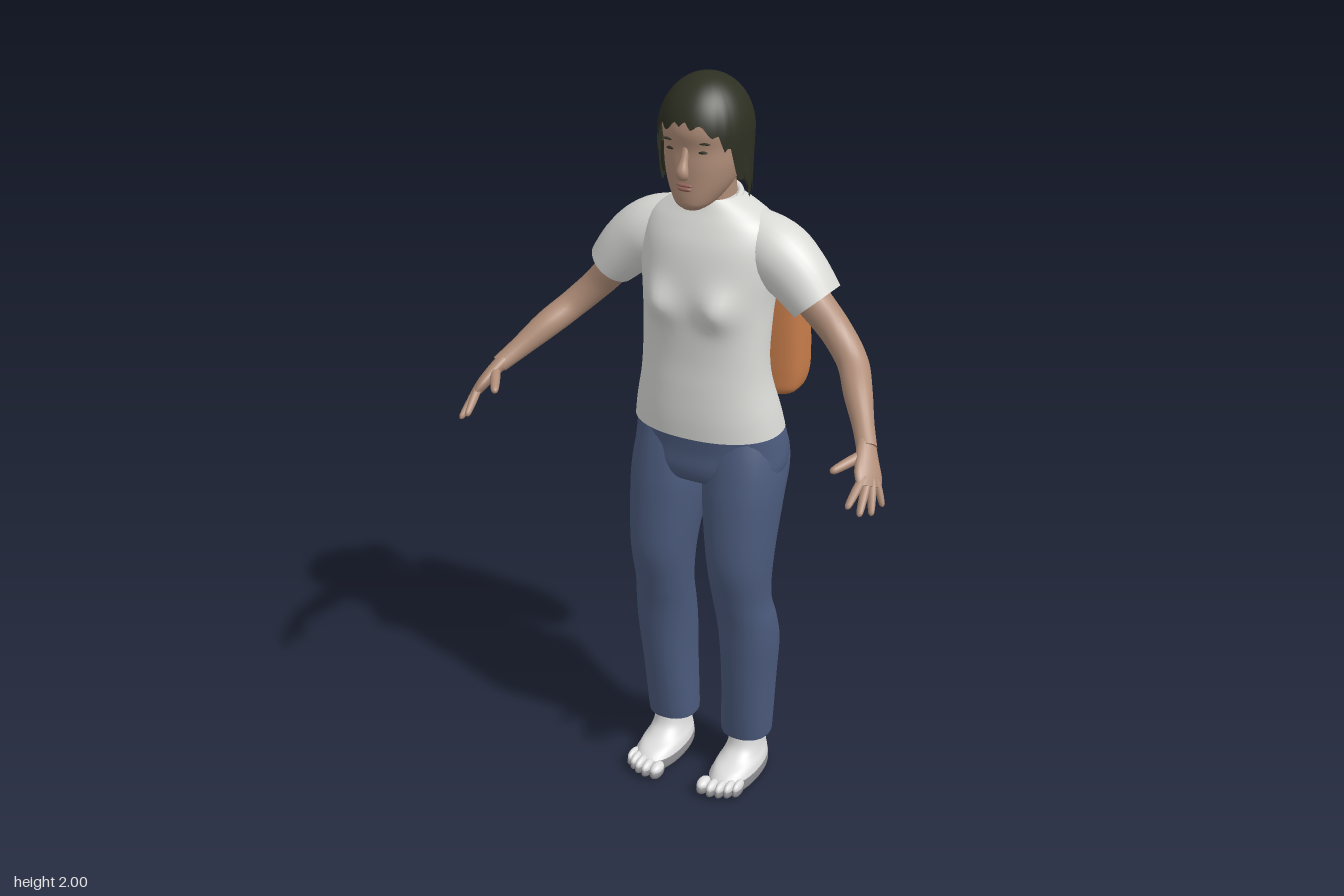
import * as THREE from 'three';
import { RoundedBoxGeometry } from 'three/addons/geometries/RoundedBoxGeometry.js';

const V = (x, y, z) => new THREE.Vector3(x, y, z);
const mat = (name, color, side = THREE.FrontSide) => {
  const m = new THREE.MeshStandardMaterial({ color, side });
  m.name = name;
  return m;
};

// Smooth rows of numbers with a Catmull-Rom spline
function smooth(rows, steps = 5) {
  const out = [];
  const at = i => rows[Math.min(Math.max(i, 0), rows.length - 1)];
  for (let i = 0; i < rows.length - 1; i++) {
    for (let s = 0; s < steps; s++) {
      const t = s / steps;
      out.push(rows[i].map((b, k) => {
        const a = at(i - 1)[k], c = at(i + 1)[k], d = at(i + 2)[k];
        return 0.5 * (2 * b + (c - a) * t + (2 * a - 5 * b + 4 * c - d) * t * t + (3 * b - a - 3 * c + d) * t * t * t);
      }));
    }
  }
  out.push(rows[rows.length - 1]);
  return out;
}

// Skin closed rings of points, with optional flat end caps
function skin(rings, capStart = true, capEnd = true) {
  const n = rings[0].length, pos = [], idx = [];
  rings.forEach(r => r.forEach(p => pos.push(p.x, p.y, p.z)));
  for (let i = 0; i < rings.length - 1; i++) {
    for (let j = 0; j < n; j++) {
      const a = i * n + j, b = i * n + (j + 1) % n;
      idx.push(a, b, a + n, b, b + n, a + n);
    }
  }
  const cap = (ring, flip) => {
    const base = pos.length / 3, c = V(0, 0, 0);
    ring.forEach(p => { c.addScaledVector(p, 1 / n); pos.push(p.x, p.y, p.z); });
    pos.push(c.x, c.y, c.z);
    for (let j = 0; j < n; j++) {
      const a = base + j, b = base + (j + 1) % n;
      idx.push(base + n, flip ? b : a, flip ? a : b);
    }
  };
  if (capStart) cap(rings[0], true);
  if (capEnd) cap(rings[rings.length - 1], false);
  const g = new THREE.BufferGeometry();
  g.setAttribute('position', new THREE.Float32BufferAttribute(pos, 3));
  g.setIndex(idx);
  g.computeVertexNormals();
  return g;
}

const power = (v, e) => Math.sign(v) * Math.pow(Math.abs(v), 2 / e);

// Horizontal rings, rows upward: [y, xMin, xMax, zBack, zFront]
function stack(rows, { e = 2.2, n = 36, caps = [true, true], tweak = p => p } = {}) {
  return skin(smooth(rows).map(([y, x0, x1, z0, z1]) => Array.from({ length: n }, (_, j) => {
    const t = j / n * Math.PI * 2;
    return tweak(V((x0 + x1) / 2 + (x1 - x0) / 2 * power(Math.cos(t), e), y,
      (z0 + z1) / 2 - (z1 - z0) / 2 * power(Math.sin(t), e)));
  })), ...caps);
}
const centred = rows => rows.map(([y, w, z0, z1]) => [y, -w, w, z0, z1]);

// Tapered limb along a path: [x, y, z, half width along hint, half depth]
function limb(rows, hint, { n = 20, caps = [true, true], steps = 5 } = {}) {
  const pts = smooth(rows, steps);
  return skin(pts.map((p, i) => {
    const a = pts[Math.max(i - 1, 0)], b = pts[Math.min(i + 1, pts.length - 1)];
    const T = V(b[0] - a[0], b[1] - a[1], b[2] - a[2]).normalize();
    const U = hint.clone().addScaledVector(T, -hint.dot(T)).normalize();
    const W = T.clone().cross(U);
    return Array.from({ length: n }, (_, j) => {
      const t = j / n * Math.PI * 2;
      return V(p[0], p[1], p[2]).addScaledVector(U, p[3] * Math.cos(t)).addScaledVector(W, p[4] * Math.sin(t));
    });
  }), ...caps);
}
const ball = (x, y, z, a, b, c) => new THREE.SphereGeometry(1, 16, 12).scale(a, b, c).translate(x, y, z);

function mirror(g) {
  const m = g.clone().scale(-1, 1, 1), ix = m.index.array;
  for (let i = 0; i < ix.length; i += 3) [ix[i + 1], ix[i + 2]] = [ix[i + 2], ix[i + 1]];
  m.computeVertexNormals();
  return m;
}

export function createModel() {
  const D = THREE.DoubleSide;
  const skinTone = mat('skin', 0xb08d78), hairDark = mat('dark hair', 0x2d2f22, D);
  const white = mat('shirt white', 0xd9d9d6, D), denim = mat('denim blue', 0x4b5a7c, D);
  const orange = mat('pack orange', 0xc67c4a), sock = mat('foot white', 0xdededf);
  const grey = mat('sole grey', 0x8f8f93), lip = mat('lip', 0x8f6257);

  const model = new THREE.Group();
  model.name = 'woman with backpack';
  const add = (name, g, m) => {
    const mesh = new THREE.Mesh(g, m);
    mesh.name = name;
    model.add(mesh);
    return mesh;
  };
  const pair = (name, g, m) => {
    add('left ' + name, g, m);
    add('right ' + name, mirror(g), m);
  };

  // Shirt body with a soft bust
  add('shirt', stack(centred([
    [1.062, 0.205, -0.165, 0.117], [1.12, 0.195, -0.15, 0.118], [1.2, 0.178, -0.125, 0.114],
    [1.27, 0.172, -0.113, 0.109], [1.35, 0.172, -0.128, 0.109], [1.42, 0.175, -0.147, 0.11],
    [1.5, 0.185, -0.158, 0.1], [1.57, 0.185, -0.158, 0.083], [1.62, 0.168, -0.15, 0.06],
    [1.655, 0.125, -0.13, 0.04], [1.685, 0.072, -0.108, 0.026],
  ]), {
    n: 56, caps: [false, true], tweak: p => {
      if (p.z > 0) p.z += 0.03 * Math.exp(-(((Math.abs(p.x) - 0.085) / 0.045) ** 2) - ((p.y - 1.425) / 0.05) ** 2);
      return p;
    },
  }), white);
  const collar = add('collar', new THREE.TorusGeometry(0.069, 0.009, 10, 36), white);
  collar.rotation.x = Math.PI / 2 + 0.22;
  collar.position.set(0, 1.678, -0.04);
  pair('sleeve', limb([
    [0.08, 1.575, -0.055, 0.085, 0.07], [0.17, 1.55, -0.05, 0.088, 0.088],
    [0.235, 1.505, -0.043, 0.081, 0.082], [0.293, 1.443, -0.04, 0.066, 0.077],
  ], V(0, 1, 0), { n: 28, caps: [true, false] }), white);

  // Arms and hands
  pair('arm', limb([
    [0.2, 1.52, -0.045, 0.05, 0.05], [0.28, 1.44, -0.045, 0.046, 0.047], [0.345, 1.37, -0.045, 0.041, 0.043],
    [0.405, 1.31, -0.015, 0.038, 0.04], [0.45, 1.265, 0.05, 0.036, 0.037], [0.495, 1.215, 0.115, 0.028, 0.028],
    [0.528, 1.18, 0.165, 0.022, 0.026],
  ], V(0, 1, 0)), skinTone);
  const spread = V(-0.4, 0.25, 0.85);
  pair('palm', limb([
    [0.52, 1.19, 0.152, 0.025, 0.02], [0.537, 1.165, 0.182, 0.033, 0.018],
    [0.554, 1.135, 0.212, 0.042, 0.016], [0.566, 1.113, 0.23, 0.038, 0.011],
  ], spread), skinTone);
  [ // knuckle, tip, radius
    ['thumb', [0.527, 1.172, 0.187], [0.479, 1.15, 0.267], 0.013],
    ['index finger', [0.549, 1.13, 0.245], [0.542, 1.085, 0.308], 0.0105],
    ['middle finger', [0.56, 1.12, 0.235], [0.57, 1.066, 0.297], 0.0105],
    ['ring finger', [0.57, 1.115, 0.222], [0.587, 1.056, 0.262], 0.01],
    ['little finger', [0.575, 1.115, 0.204], [0.596, 1.06, 0.214], 0.009],
  ].forEach(([name, a, b, r]) => {
    const row = (t, s) => [...a.map((v, k) => v + (b[k] - v) * t), r * s, r * s];
    pair(name, limb([row(-0.2, 1), row(0.3, 1.05), row(0.8, 0.85), row(0.95, 0.6), row(1, 0.2)], spread, { n: 10, steps: 3 }), skinTone);
  });

  // Trousers
  add('trouser seat', stack(centred([
    [0.905, 0.1, -0.08, 0.05], [0.925, 0.19, -0.125, 0.083], [0.96, 0.213, -0.148, 0.093],
    [1.01, 0.213, -0.162, 0.09], [1.08, 0.2, -0.155, 0.094],
  ])), denim);
  pair('trouser leg', stack([
    [0.12, 0.047, 0.183, -0.092, 0.04], [0.14, 0.045, 0.186, -0.096, 0.043], [0.3, 0.05, 0.195, -0.105, 0.06],
    [0.42, 0.048, 0.205, -0.103, 0.072], [0.5, 0.045, 0.203, -0.085, 0.082], [0.58, 0.04, 0.195, -0.064, 0.098],
    [0.7, 0.028, 0.202, -0.075, 0.12], [0.86, 0.005, 0.212, -0.12, 0.11], [0.94, 0, 0.213, -0.155, 0.098],
    [1.0, 0.005, 0.205, -0.163, 0.085], [1.05, 0.02, 0.19, -0.14, 0.07],
  ], { caps: [false, true] }), denim);

  // Feet, soles and toes
  pair('foot', stack([
    [0.03, 0.056, 0.18, -0.099, 0.148], [0.05, 0.06, 0.176, -0.097, 0.122], [0.07, 0.068, 0.168, -0.093, 0.075],
    [0.1, 0.073, 0.164, -0.088, 0.042], [0.17, 0.075, 0.162, -0.085, 0.03],
  ]), sock);
  pair('sole', stack([
    [0, 0.062, 0.176, -0.096, 0.148], [0.01, 0.055, 0.181, -0.101, 0.155], [0.033, 0.055, 0.181, -0.101, 0.155],
  ]), grey);
  [[0.074, 0.162, 0.017], [0.102, 0.164, 0.013], [0.126, 0.158, 0.012], [0.147, 0.147, 0.012], [0.166, 0.132, 0.011]]
    .forEach(([x, z, r], i) => {
      pair('toe top ' + (i + 1), ball(x, 0.03, z - 0.008, r, 0.016, 0.028), sock);
      pair('toe ' + (i + 1), ball(x, 0.019, z - 0.008, r, 0.019, 0.031), grey);
    });

  // Head and neck
  add('neck', stack(centred([[1.6, 0.07, -0.11, 0.02], [1.68, 0.06, -0.1, 0.03], [1.78, 0.06, -0.09, 0.04]])), skinTone);
  add('head', stack(centred([
    [1.677, 0.025, 0.035, 0.093], [1.69, 0.045, 0, 0.108], [1.71, 0.062, -0.04, 0.112], [1.745, 0.082, -0.08, 0.112],
    [1.79, 0.095, -0.11, 0.112], [1.835, 0.1, -0.125, 0.109], [1.88, 0.102, -0.128, 0.115],
    [1.93, 0.092, -0.115, 0.1], [1.97, 0.055, -0.08, 0.06],
  ])), skinTone);
  add('nose', limb([
    [0, 1.845, 0.1, 0.009, 0.008], [0, 1.81, 0.114, 0.011, 0.01], [0, 1.78, 0.124, 0.017, 0.015], [0, 1.766, 0.114, 0.012, 0.008],
  ], V(1, 0, 0), { n: 14 }), skinTone);
  add('upper lip', ball(0, 1.747, 0.111, 0.023, 0.005, 0.008), lip);
  add('lower lip', ball(0, 1.737, 0.111, 0.02, 0.006, 0.008), lip);
  pair('eye', ball(0.04, 1.832, 0.098, 0.016, 0.004, 0.006), hairDark);
  pair('eyebrow', ball(0.043, 1.855, 0.1, 0.022, 0.003, 0.006).rotateZ(0), hairDark);

  // Hair with a ragged lower edge
  const edge = [[0, 1.905], [0.2, 1.885], [0.33, 1.83], [0.42, 1.75], [0.5, 1.715], [0.75, 1.725], [1, 1.735]];
  const low = t => {
    const a = Math.abs(t) / Math.PI;
    const i = Math.max(1, edge.findIndex(p => p[0] >= a - 1e-6));
    const [[a0, y0], [a1, y1]] = [edge[i - 1], edge[i]];
    return y0 + (y1 - y0) * (a - a0) / (a1 - a0) + (0.006 + 0.016 * Math.min(1, a * 1.6)) * Math.sin(t * 19 + Math.sin(t * 7));
  };
  const N = 96, hairRings = [];
  for (let i = 0; i <= 20; i++) {
    hairRings.push(Array.from({ length: N }, (_, j) => {
      const t = (j / N * 2 - 1) * Math.PI, y0 = low(t);
      const y = y0 + (2 - y0) * Math.sin(i / 20 * Math.PI / 2);
      const r = y > 1.86 ? Math.sqrt(Math.max(0, 1 - ((y - 1.86) / 0.14) ** 2)) : 1 - 0.9 * (1.86 - y) * Math.max(0, -Math.cos(t));
      return V(0.117 * r * Math.sin(t), y, -0.004 + 0.134 * r * Math.cos(t));
    }));
  }
  add('hair', skin(hairRings, false, false), hairDark);
  pair('side lock', limb([
    [0.105, 1.82, 0.01, 0.02, 0.01], [0.112, 1.76, 0.005, 0.016, 0.01], [0.122, 1.725, 0, 0.003, 0.002],
  ], V(0, 0, 1), { n: 10 }), hairDark);
  add('ponytail', limb([
    [0, 1.885, -0.115, 0.03, 0.025], [0, 1.902, -0.145, 0.025, 0.018], [0, 1.88, -0.167, 0.033, 0.022],
    [0, 1.8, -0.164, 0.031, 0.022], [0, 1.72, -0.155, 0.022, 0.016], [0, 1.635, -0.143, 0.003, 0.003],
  ], V(1, 0, 0)), hairDark);
  const tie = add('hair tie', new THREE.TorusGeometry(0.024, 0.007, 8, 20), orange);
  tie.position.set(0, 1.9, -0.144);
  tie.rotation.x = 0.4;

  // Backpack with a front pocket
  add('backpack', stack(centred([
    [1.08, 0.13, -0.25, -0.195], [1.1, 0.162, -0.285, -0.168], [1.14, 0.174, -0.306, -0.164], [1.2, 0.176, -0.311, -0.163],
    [1.3, 0.175, -0.303, -0.164], [1.4, 0.171, -0.292, -0.169], [1.48, 0.153, -0.28, -0.178],
    [1.53, 0.125, -0.26, -0.188], [1.565, 0.08, -0.225, -0.2],
  ]), { e: 3.6, n: 48 }), orange);
  const pocket = add('backpack pocket', new RoundedBoxGeometry(0.2, 0.15, 0.03, 4, 0.012), orange);
  pocket.position.set(0, 1.215, -0.301);
  pocket.rotation.x = 0.06;

  return model;
}
